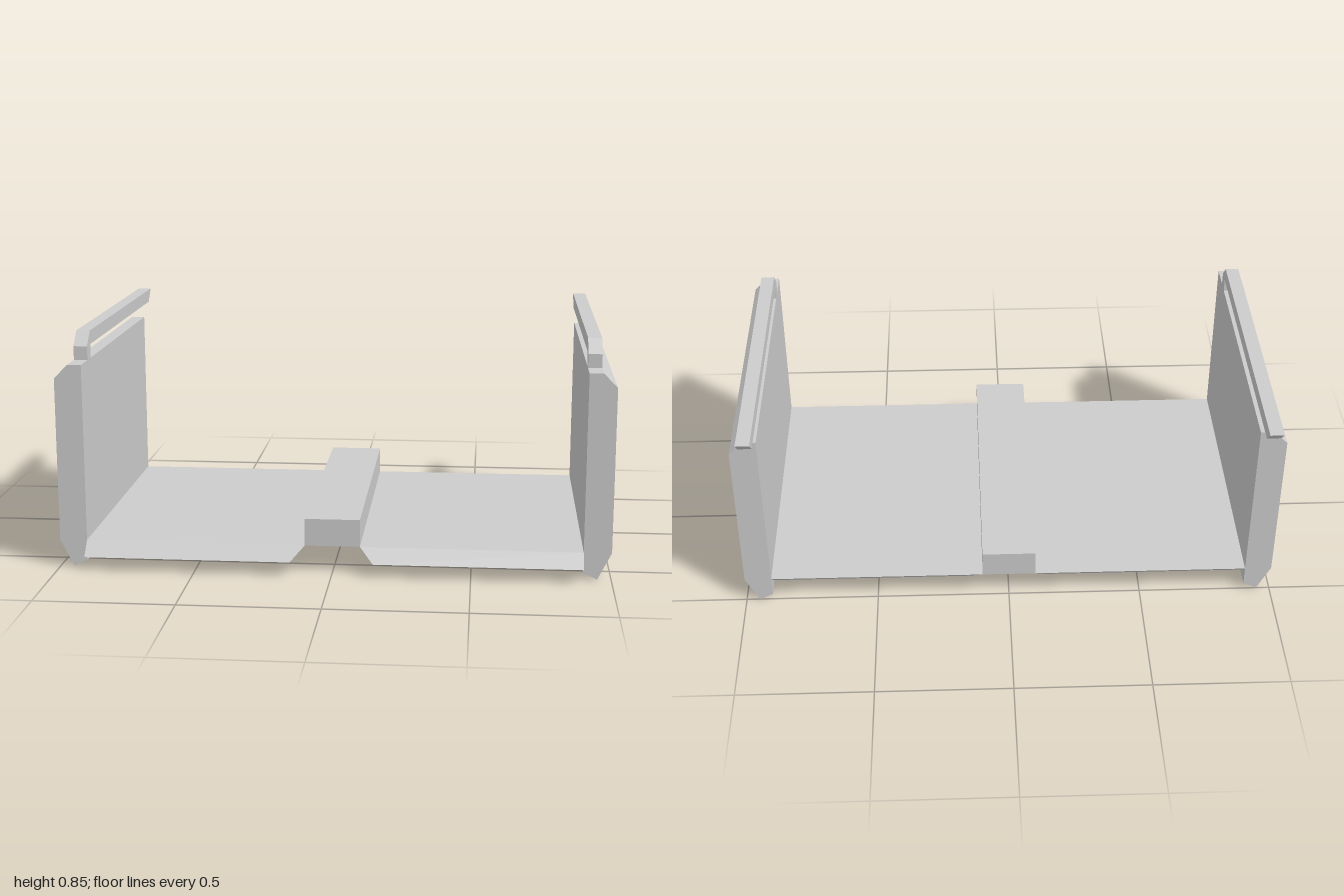
import * as THREE from 'three';

const material = new THREE.MeshStandardMaterial({ color: 0xcccccc, flatShading: true });

function extrude(points, depth) {
  const shape = new THREE.Shape(points.map(([x, y]) => new THREE.Vector2(x, y)));
  return new THREE.ExtrudeGeometry(shape, { depth, bevelEnabled: false });
}

function add(parent, name, geometry) {
  const mesh = new THREE.Mesh(geometry, material);
  mesh.name = name;
  parent.add(mesh);
}

// Side wall cross-section (x, y), chamfered at the outer top and pointed below
const WALL = [[0.9, 0.025], [0.95, 0], [1, 0.1], [1, 0.7], [0.95, 0.75], [0.9, 0.75]];

// Rail side profile (z, y): short front post, bevelled corner, slanted rear tip
const RAIL = [
  [0.45, 0.75], [0.5, 0.75], [0.5, 0.8], [0.45, 0.85],
  [-0.65, 0.85], [-0.6, 0.8], [0.45, 0.8],
];

// Floor plate: the underside is shifted forward and cut back at the inner edge
function floorPlate(side) {
  const geometry = new THREE.BoxGeometry(0.8, 0.05, 1.1).translate(side * 0.5, 0.075, 0.05);
  const p = geometry.attributes.position;
  for (let i = 0; i < p.count; i++) {
    if (p.getY(i) > 0.075) continue;
    p.setZ(i, p.getZ(i) + 0.05);
    if (Math.abs(p.getX(i)) < 0.5) p.setX(i, side * 0.15);
  }
  geometry.computeVertexNormals();
  return geometry;
}

export function createModel() {
  const model = new THREE.Group();
  model.name = 'openBed';

  // Raised spine along the middle of the floor
  add(model, 'centreSpine', new THREE.BoxGeometry(0.2, 0.1, 1.1).translate(0, 0.15, 0.05));

  for (const side of [1, -1]) {
    const half = new THREE.Group();
    half.name = side > 0 ? 'leftHalf' : 'rightHalf';
    model.add(half);

    add(half, 'floorPlate', floorPlate(side));
    add(half, 'sideWall', extrude(WALL.map(([x, y]) => [side * x, y]), 1.1).translate(0, 0, -0.5));
    // Profile z runs along z, thickness along x
    add(half, 'topRail', extrude(RAIL, 0.05).rotateY(-Math.PI / 2).translate(side * 0.925 + 0.025, 0, 0));
  }
  return model;
}
